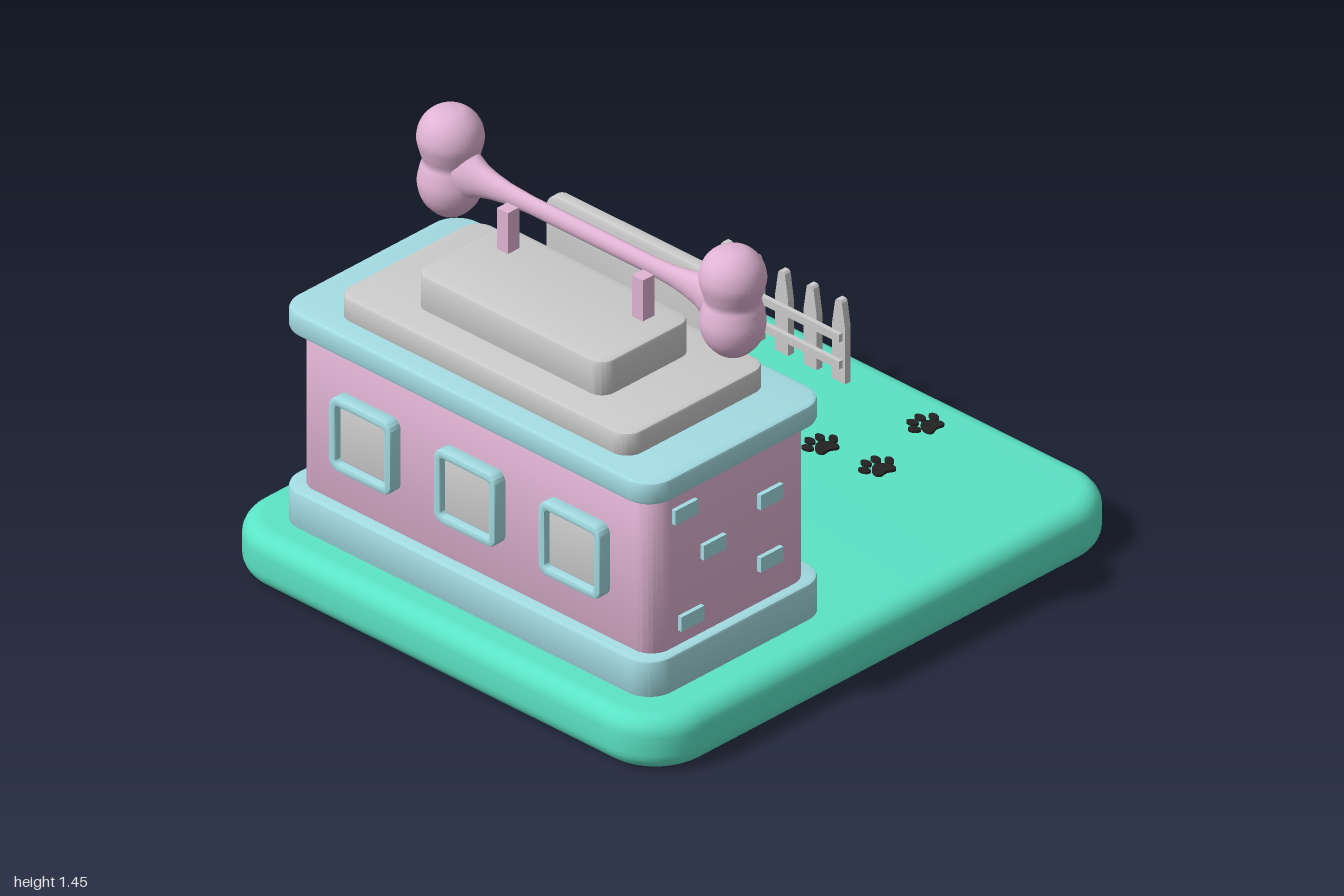
import * as THREE from 'three';
import { toCreasedNormals } from 'three/addons/utils/BufferGeometryUtils.js';

const GREY = 0xcccccc, PINK = 0xe0b4d4, BLUE = 0xa3dce2, GREEN = 0x5be3c5, BLACK = 0x222222;
const mats = {};
const mat = (c) => (mats[c] ??= new THREE.MeshStandardMaterial({ color: c }));

function add(parent, name, geo, color) {
  const mesh = new THREE.Mesh(geo, mat(color));
  mesh.name = name;
  parent.add(mesh);
  return mesh;
}

function group(parent, name) {
  const g = new THREE.Group();
  g.name = name;
  parent.add(g);
  return g;
}

// Rounded rectangle outline centred on the origin
function roundRect(w, h, r, Type = THREE.Shape) {
  const s = new Type(), x = w / 2, y = h / 2;
  s.absarc(x - r, y - r, r, 0, Math.PI / 2);
  s.absarc(r - x, y - r, r, Math.PI / 2, Math.PI);
  s.absarc(r - x, r - y, r, Math.PI, Math.PI * 1.5);
  s.absarc(x - r, r - y, r, Math.PI * 1.5, Math.PI * 2);
  s.closePath();
  return s;
}

// Bevelled plate of outer size w x h, from z = 0 to z = depth
function plate(w, h, depth, r, bevel, hole) {
  const b = bevel;
  const s = roundRect(w - 2 * b, h - 2 * b, Math.max(r - b, 0.004));
  if (hole) s.holes.push(roundRect(hole[0] + 2 * b, hole[1] + 2 * b, 0.02, THREE.Path));
  const geo = new THREE.ExtrudeGeometry(s, {
    depth: depth - 2 * b, bevelEnabled: b > 0, bevelSize: b, bevelThickness: b,
    bevelSegments: b > 0.03 ? 6 : 2, curveSegments: 8,
  });
  geo.translate(0, 0, b);
  return toCreasedNormals(geo, 0.6);
}

// Horizontal slab given by its extents
function slab(parent, name, x0, x1, y0, y1, z0, z1, r, bevel, color) {
  const geo = plate(x1 - x0, z1 - z0, y1 - y0, r, bevel).rotateX(-Math.PI / 2);
  add(parent, name, geo, color).position.set((x0 + x1) / 2, y0, (z0 + z1) / 2);
}

// Upright plate facing +x
function upright(parent, name, x, y, z, geo, color) {
  const m = add(parent, name, geo, color);
  m.rotation.y = Math.PI / 2;
  m.position.set(x, y, z);
}

// Paw print in the XY plane, toes towards +y
function paw(parent, size, color, depth) {
  const g = group(parent, 'pawPrint');
  const pad = new THREE.Shape();
  pad.moveTo(0, 0.12);
  pad.bezierCurveTo(0.2, 0.12, 0.42, -0.25, 0.3, -0.38);
  pad.bezierCurveTo(0.2, -0.48, 0.12, -0.36, 0, -0.36);
  pad.bezierCurveTo(-0.12, -0.36, -0.2, -0.48, -0.3, -0.38);
  pad.bezierCurveTo(-0.42, -0.25, -0.2, 0.12, 0, 0.12);
  const opts = { depth: depth / size, bevelEnabled: false, curveSegments: 8 };
  add(g, 'pad', new THREE.ExtrudeGeometry(pad, opts), color);
  for (const [x, y, a] of [[-0.41, 0.06, 0.4], [-0.16, 0.32, 0.1], [0.16, 0.32, -0.1], [0.41, 0.06, -0.4]]) {
    const toe = new THREE.Shape();
    toe.absellipse(x, y, 0.12, 0.18, 0, Math.PI * 2, false, a);
    add(g, 'toe', new THREE.ExtrudeGeometry(toe, opts), color);
  }
  g.scale.setScalar(size);
  return g;
}

// Window on a wall facing +x in local space
function makeWindow(parent, x, y, z, turn) {
  const g = group(parent, 'window');
  upright(g, 'windowFrame', -0.01, 0, 0, plate(0.255, 0.25, 0.055, 0.035, 0.008, [0.2, 0.195]), BLUE);
  upright(g, 'windowPane', -0.01, 0, 0, plate(0.19, 0.185, 0.04, 0.012, 0.006), GREY);
  g.position.set(x, y, z);
  g.rotation.y = turn;
}

// Five pickets along x, two rails on the +z side
function makeFence(parent) {
  const g = group(parent, 'fence');
  const s = new THREE.Shape([[-0.027, 0], [0.027, 0], [0.027, 0.19], [0.014, 0.275],
    [0.008, 0.282], [-0.008, 0.282], [-0.014, 0.275], [-0.027, 0.19]].map((p) => new THREE.Vector2(...p)));
  for (let i = -2; i <= 2; i++) {
    const geo = new THREE.ExtrudeGeometry(s, { depth: 0.024, bevelEnabled: false });
    add(g, 'picket', geo, GREY).position.set(i * 0.117, 0, -0.012);
  }
  for (const y of [0.068, 0.16]) {
    add(g, 'rail', new THREE.BoxGeometry(0.5, 0.027, 0.016), GREY).position.set(0, y, 0.019);
  }
  return g;
}

// Bone lying along z
function makeBone(parent) {
  const g = group(parent, 'bone');
  const flare = [[0.57, 0.05], [0.53, 0.088], [0.49, 0.075], [0.45, 0.056], [0.4, 0.044], [0.34, 0.035], [0.25, 0.03]];
  const profile = [...flare.map(([t, r]) => [r, -t]), ...flare.reverse().map(([t, r]) => [r, t])];
  const shaft = new THREE.LatheGeometry(profile.map((p) => new THREE.Vector2(...p)), 24);
  shaft.rotateX(Math.PI / 2).scale(0.72, 1, 1);
  add(g, 'boneShaft', shaft, PINK);
  const knob = new THREE.SplineCurve([[0, -0.168], [0.045, -0.154], [0.085, -0.11], [0.1, -0.055], [0.092, -0.005],
    [0.084, 0.022], [0.093, 0.055], [0.102, 0.1], [0.088, 0.15], [0.05, 0.187], [0, 0.197]]
    .map((p) => new THREE.Vector2(...p))).getPoints(40);
  knob.forEach((p) => { p.x = Math.max(p.x, 0); });
  for (const z of [-0.58, 0.58]) {
    add(g, 'boneEnd', new THREE.LatheGeometry(knob, 32), PINK).position.z = z;
  }
  g.position.set(-0.36, 1.254, 0.02);
}

export function createModel() {
  const model = new THREE.Group();
  model.name = 'petHouse';

  // Ground and building tiers
  slab(model, 'ground', -1, 1, 0, 0.18, -0.91, 0.91, 0.2, 0.06, GREEN);
  slab(model, 'plinth', -0.88, -0.12, 0.17, 0.3, -0.77, 0.765, 0.09, 0.01, BLUE);
  slab(model, 'walls', -0.835, -0.165, 0.29, 0.85, -0.73, 0.73, 0.07, 0.005, PINK);
  slab(model, 'roofSlab', -0.88, -0.12, 0.835, 0.91, -0.77, 0.765, 0.09, 0.012, BLUE);
  slab(model, 'roofLowerTier', -0.8, -0.2, 0.9, 0.985, -0.605, 0.595, 0.06, 0.01, GREY);
  slab(model, 'roofUpperTier', -0.69, -0.305, 0.975, 1.1, -0.39, 0.385, 0.05, 0.01, GREY);

  // Steps
  slab(model, 'lowerStep', -0.16, 0.1, 0.17, 0.22, -0.25, 0.245, 0.03, 0.006, GREY);
  slab(model, 'upperStep', -0.16, 0.01, 0.21, 0.28, -0.185, 0.18, 0.03, 0.006, GREY);

  // Bricks on both end walls
  for (const [x, y] of [[-0.703, 0.751], [-0.583, 0.58], [-0.343, 0.65], [-0.677, 0.375], [-0.343, 0.435]]) {
    for (const side of [-1, 1]) {
      add(model, 'brick', new THREE.BoxGeometry(0.096, 0.05, 0.04), BLUE).position.set(x, y, side * 0.725);
    }
  }

  // Windows, front pair and back row
  for (const z of [0.485, -0.44]) makeWindow(model, -0.165, 0.563, z, 0);
  for (const z of [-0.43, 0, 0.43]) makeWindow(model, -0.835, 0.563, z, Math.PI);

  // Door
  const door = group(model, 'door');
  upright(door, 'doorLeaf', -0.18, 0.533, 0.005, plate(0.255, 0.426, 0.05, 0.025, 0.006), GREY);
  for (const z of [0.055, -0.047]) {
    upright(door, 'doorUpperPanel', -0.15, 0.609, z, plate(0.076, 0.2, 0.03, 0.012, 0.004), PINK);
    upright(door, 'doorLowerPanel', -0.15, 0.402, z, plate(0.076, 0.135, 0.03, 0.012, 0.004), PINK);
  }
  add(door, 'doorKnob', new THREE.SphereGeometry(0.014, 16, 12), GREY).position.set(-0.122, 0.493, 0.11);

  // Sign board with paw prints
  const sign = group(model, 'sign');
  upright(sign, 'signFrame', -0.135, 0.965, 0, plate(0.78, 0.34, 0.045, 0.05, 0.008), GREY);
  upright(sign, 'signPanel', -0.1, 0.965, 0, plate(0.62, 0.272, 0.026, 0.025, 0.005), PINK);
  for (const [y, z, size, turn] of [[0.917, -0.197, 0.098, 0.1], [1.022, -0.148, 0.08, 0.45], [0.956, -0.09, 0.053, -0.25]]) {
    const p = paw(sign, size, GREEN, 0.008);
    p.rotation.set(0, Math.PI / 2, turn, 'YXZ');
    p.position.set(-0.076, y, z);
  }

  // Roof bone and its posts
  makeBone(model);
  for (const z of [-0.283, 0.272]) {
    add(model, 'bonePost', new THREE.BoxGeometry(0.05, 0.16, 0.045), PINK).position.set(-0.401, 1.16, z);
  }

  // Fences
  makeFence(model).position.set(0.422, 0.178, -0.763);
  const sideFence = makeFence(model);
  sideFence.rotation.y = -Math.PI / 2;
  sideFence.position.set(0.847, 0.178, -0.362);

  // Paw trail on the ground
  for (const [x, z, turn] of [[0.32, 0.14, 0.1], [0.535, 0.095, -0.2], [0.56, 0.303, -0.15], [0.833, 0.233, 0.1]]) {
    const p = paw(model, 0.112, BLACK, 0.012);
    p.rotation.set(-Math.PI / 2, 0, turn);
    p.position.set(x, 0.176, z);
  }
  return model;
}
